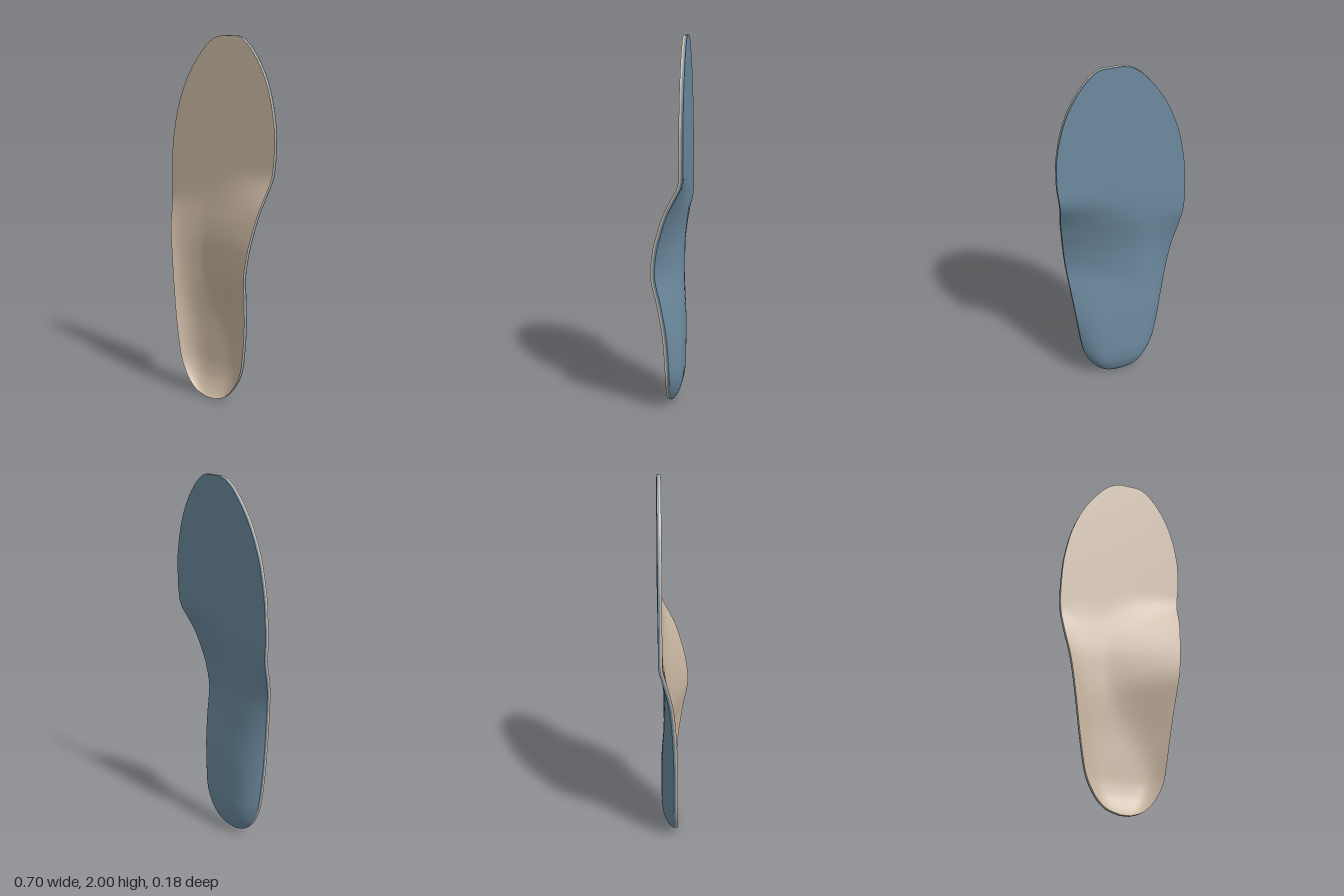
import * as THREE from 'three';

const ROWS = 90, COLS = 40;

// Smooth interpolation without overshoot through [key, value] pairs
function profile(pts) {
  const slope = pts.slice(1).map((p, i) => (p[1] - pts[i][1]) / (p[0] - pts[i][0]));
  const tangent = pts.map((p, i) => {
    if (i === 0) return slope[0];
    if (i === pts.length - 1) return slope[i - 1];
    const a = slope[i - 1], b = slope[i];
    return a * b > 0 ? (2 * a * b) / (a + b) : 0;
  });
  return (x) => {
    let i = 0;
    while (i < pts.length - 2 && x > pts[i + 1][0]) i++;
    const h = pts[i + 1][0] - pts[i][0];
    const t = THREE.MathUtils.clamp((x - pts[i][0]) / h, 0, 1);
    const t2 = t * t, t3 = t2 * t;
    return (2 * t3 - 3 * t2 + 1) * pts[i][1] + (t3 - 2 * t2 + t) * h * tangent[i]
      + (3 * t2 - 2 * t3) * pts[i + 1][1] + (t3 - t2) * h * tangent[i + 1];
  };
}

// Outline from heel to toe: height, outer edge x, inner edge x
const outline = [
  [0, -0.035, 0.02], [0.02, -0.1, 0.078], [0.06, -0.15, 0.127], [0.12, -0.19, 0.17],
  [0.2, -0.222, 0.204], [0.4, -0.255, 0.233], [0.6, -0.278, 0.255], [0.8, -0.303, 0.277],
  [1.0, -0.337, 0.3], [1.2, -0.355, 0.327], [1.4, -0.345, 0.35], [1.5, -0.329, 0.35],
  [1.6, -0.306, 0.338], [1.7, -0.27, 0.316], [1.8, -0.22, 0.28], [1.9, -0.148, 0.222],
  [1.96, -0.09, 0.17], [1.99, -0.04, 0.13], [2, 0, 0.1],
];
const [rowY, rowLeft, rowRight] = [0, 1, 2].map((c) => profile(outline.map((r, i) => [i, r[c]])));

// Depth of the middle, of both rims, and the shape of the arch, by height
const middle = profile([[0, 0.017], [0.02, 0], [0.06, -0.022], [0.12, -0.041], [0.2, -0.049],
  [0.4, -0.049], [0.7, -0.037], [0.85, -0.037], [1, -0.05], [1.1, -0.062], [1.22, -0.067], [2, -0.067]]);
const outerRim = profile([[0, 0.017], [0.4, 0.016], [0.6, 0.011], [0.8, -0.002], [0.9, -0.016],
  [1, -0.04], [1.12, -0.067], [2, -0.067]]);
const innerRim = profile([[0, 0.017], [0.2, 0.018], [0.4, 0.027], [0.6, 0.055], [0.78, 0.087],
  [0.9, 0.075], [1, 0.05], [1.1, 0.018], [1.2, -0.032], [1.27, -0.065], [1.3, -0.067], [2, -0.067]]);
const archPower = profile([[0, 4], [0.2, 4], [0.45, 2.2], [0.75, 1.25], [1, 1.3], [1.25, 1.6], [2, 1.6]]);
const archStart = profile([[0, 0], [0.3, 0], [0.75, -0.35], [1, -0.35], [1.25, -0.2], [2, -0.2]]);

// Point on the foot-side surface; u runs from -1 (outer edge) to 1 (inner edge)
function surfacePoint(row, u) {
  const y = rowY(row), l = rowLeft(row), r = rowRight(row);
  const base = middle(y), s = archStart(y);
  const inner = Math.pow(Math.max(0, (u - s) / (1 - s)), archPower(y));
  const outer = Math.pow(Math.max(0, -u), 4.5);
  const z = base + (innerRim(y) - base) * inner + (outerRim(y) - base) * outer;
  return [(l + r) / 2 + (u * (r - l)) / 2, y, z];
}

// Contoured sheet between two depths behind the foot-side surface
function layer(name, color, front, back) {
  const pos = [], index = [], W = COLS + 1;
  const point = (i, j, depth) => {
    const u = Math.sin((j / COLS - 0.5) * Math.PI);
    const p = surfacePoint((i / ROWS) * (outline.length - 1), u);
    return [p[0], p[1], p[2] - depth];
  };
  // Front and back faces
  [front, back].forEach((depth, side) => {
    const start = pos.length / 3;
    for (let i = 0; i <= ROWS; i++) for (let j = 0; j <= COLS; j++) pos.push(...point(i, j, depth));
    for (let i = 0; i < ROWS; i++) for (let j = 0; j < COLS; j++) {
      const a = start + i * W + j, b = a + 1, c = b + W, d = a + W;
      if (side === 0) index.push(a, b, c, a, c, d);
      else index.push(a, c, b, a, d, c);
    }
  });
  // Edge band around the outline
  const loop = [];
  for (let j = 0; j < COLS; j++) loop.push([0, j]);
  for (let i = 0; i < ROWS; i++) loop.push([i, COLS]);
  for (let j = COLS; j > 0; j--) loop.push([ROWS, j]);
  for (let i = ROWS; i > 0; i--) loop.push([i, 0]);
  const start = pos.length / 3;
  loop.forEach(([i, j]) => pos.push(...point(i, j, front), ...point(i, j, back)));
  loop.forEach((_, k) => {
    const f0 = start + 2 * k, f1 = start + 2 * ((k + 1) % loop.length);
    index.push(f0 + 1, f1 + 1, f1, f0 + 1, f1, f0);
  });
  const geometry = new THREE.BufferGeometry();
  geometry.setAttribute('position', new THREE.Float32BufferAttribute(pos, 3));
  geometry.setIndex(index);
  geometry.computeVertexNormals();
  const mesh = new THREE.Mesh(geometry, new THREE.MeshStandardMaterial({ color }));
  mesh.name = name;
  return mesh;
}

export function createModel() {
  const group = new THREE.Group();
  group.name = 'insole';
  group.add(layer('topCover', 0xcbb8a3, 0, 0.011));
  group.add(layer('supportShell', 0x6d8ba0, 0.011, 0.022));
  return group;
}
